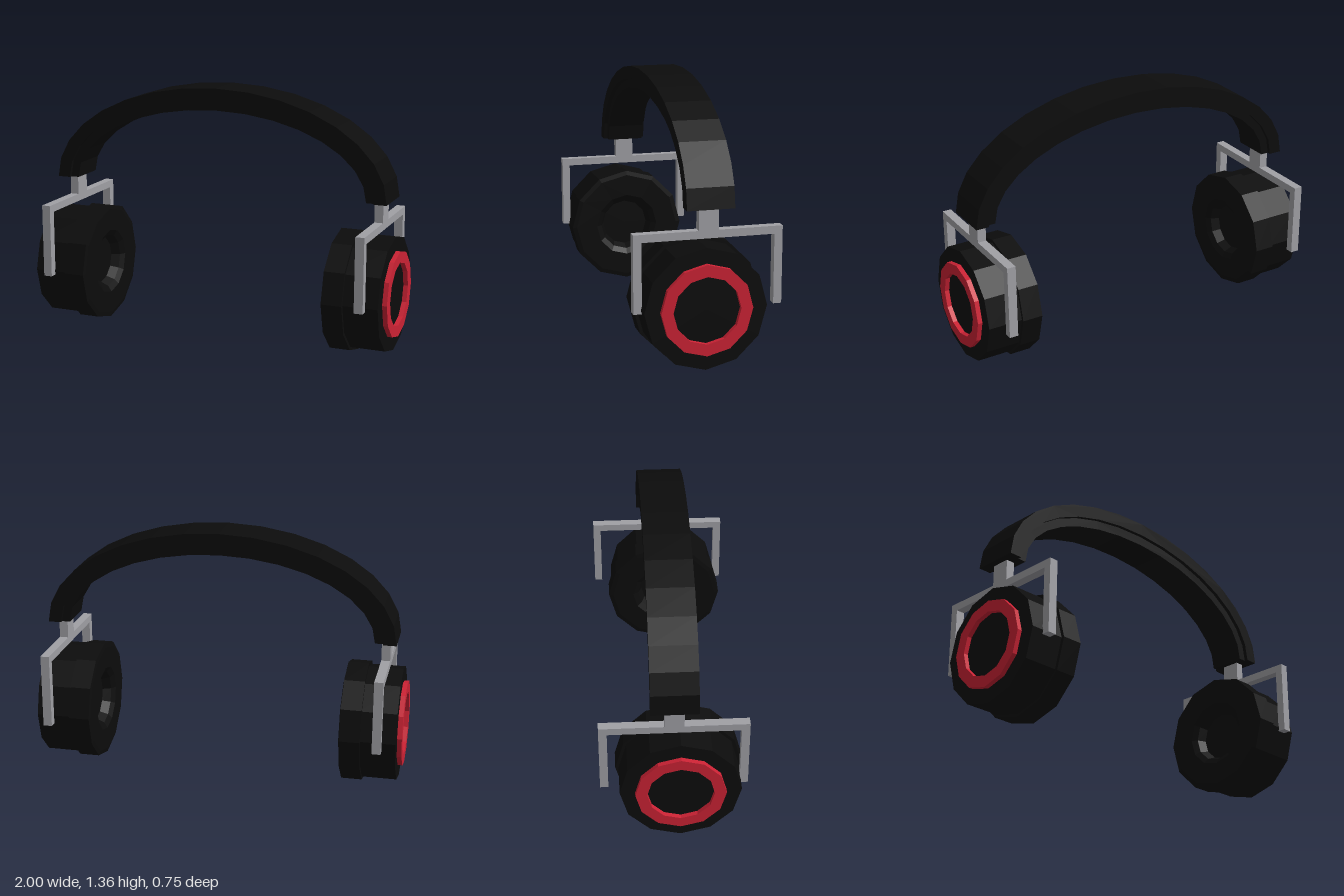
import * as THREE from 'three';

export function createModel() {
  const model = new THREE.Group();
  model.name = 'headphones';
  const mat = (name, color, flatShading = true) => {
    const m = new THREE.MeshStandardMaterial({ color, flatShading });
    m.name = name;
    return m;
  };
  const black = mat('black', 0x0c0c0c);
  const red = mat('red', 0xcb2234);
  const grey = mat('grey', 0xa0a0a5);

  const add = (parent, name, geometry, material) => {
    const mesh = new THREE.Mesh(geometry, material);
    mesh.name = name;
    parent.add(mesh);
    return mesh;
  };

  // Half-elliptical strip, extruded across z
  const arch = (ax, ay, bx, by, width) => {
    const n = 16, y0 = 0.81, outer = [], inner = [];
    for (let i = 0; i <= n; i++) {
      const t = (Math.PI * i) / n, c = Math.cos(t), s = Math.sin(t);
      outer.push(new THREE.Vector2(ax * c, y0 + ay * s));
      inner.unshift(new THREE.Vector2(bx * c, y0 + by * s));
    }
    const geo = new THREE.ExtrudeGeometry(new THREE.Shape([...outer, ...inner]), { depth: width, bevelEnabled: false });
    return geo.translate(0, 0, -width / 2);
  };
  add(model, 'headband', arch(0.945, 0.545, 0.875, 0.475, 0.24), black);
  add(model, 'headbandPad', arch(0.88, 0.48, 0.83, 0.425, 0.2), black);

  // Twelve-sided turned part around the x axis; profile is [radius, x]
  const turned = (profile) =>
    new THREE.LatheGeometry(profile.map(([r, x]) => new THREE.Vector2(r, x)), 12).rotateZ(-Math.PI / 2);
  const box = (h, d, y, z) => new THREE.BoxGeometry(0.047, h, d).translate(0.885, y, z);

  for (const side of [1, -1]) {
    const half = new THREE.Group();
    half.name = side > 0 ? 'leftSide' : 'rightSide';
    half.rotation.y = side > 0 ? 0 : Math.PI;
    model.add(half);

    // Stem and fork holding the ear cup
    add(half, 'stem', box(0.18, 0.1, 0.77, 0), grey);
    add(half, 'yokeBar', box(0.04, 0.75, 0.68, 0), grey);
    for (const z of [-0.354, 0.354]) add(half, 'yokeArm', box(0.355, 0.042, 0.4825, z), grey);

    // Ear cup: cushion, shell and coloured ring
    const cup = new THREE.Group();
    cup.name = 'earCup';
    cup.position.set(0, 0.325, 0.03 * side);
    half.add(cup);
    add(cup, 'cushion', turned([[0, 0.74], [0.13, 0.74], [0.15, 0.695], [0.18, 0.676], [0.3, 0.675],
      [0.325, 0.68], [0.325, 0.79], [0.29, 0.79]]), black);
    add(cup, 'shell', turned([[0.308, 0.78], [0.308, 0.975], [0, 0.975]]), black);
    add(cup, 'ring', turned([[0.23, 0.97], [0.23, 1], [0.17, 1], [0.17, 0.97]]), red);
  }
  return model;
}
